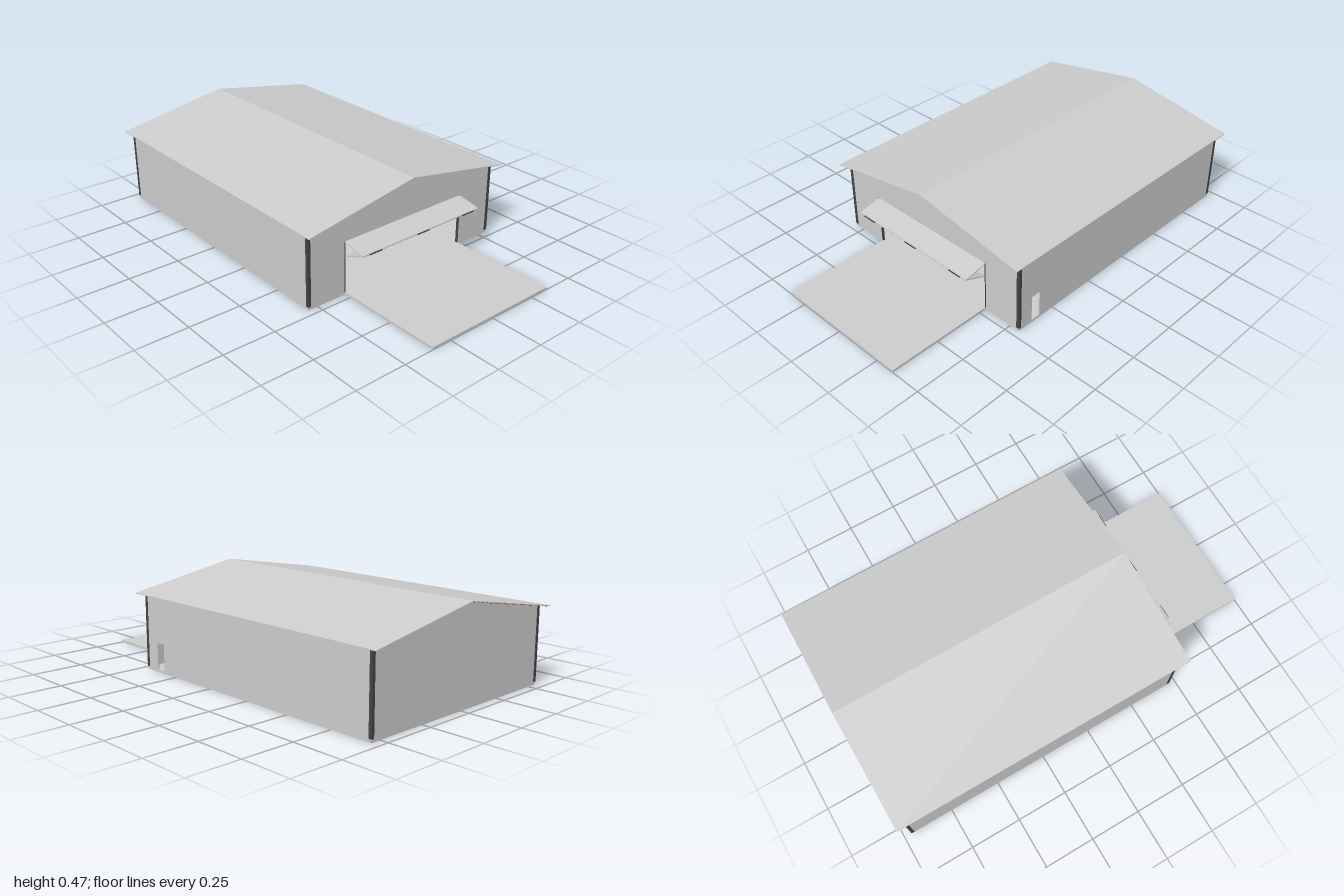
import * as THREE from 'three';

const grey = new THREE.MeshStandardMaterial({ color: 0xcccccc });
const dark = new THREE.MeshStandardMaterial({ color: 0x444444 });
const red = new THREE.MeshStandardMaterial({ color: 0x8f0a12 });

const X0 = -0.96, X1 = 0.465, ZW = 0.55, FLOOR = 0.012, T = 0.006;
const RIDGE = 0.467, SLOPE = 0.174, EAVE_Z = 0.576;
const roofY = (z) => RIDGE - SLOPE * Math.abs(z);
const PITCH = Math.atan(SLOPE);

export function createModel() {
  const model = new THREE.Group();
  model.name = 'hangar';

  const add = (name, geometry, material = grey, parent = model) => {
    const mesh = new THREE.Mesh(geometry, material);
    mesh.name = name;
    parent.add(mesh);
    return mesh;
  };
  // box given by its limits
  const box = (name, x0, x1, y0, y1, z0, z1, material, parent) => {
    const g = new THREE.BoxGeometry(x1 - x0, y1 - y0, z1 - z0);
    g.translate((x0 + x1) / 2, (y0 + y1) / 2, (z0 + z1) / 2);
    return add(name, g, material, parent);
  };
  const polygon = (points) => new THREE.Shape(points.map(([a, b]) => new THREE.Vector2(a, b)));
  // (z, y) outline extruded along x
  const acrossX = (shape, x0, x1) => {
    const g = new THREE.ExtrudeGeometry(shape, { depth: x1 - x0, bevelEnabled: false });
    return g.rotateY(-Math.PI / 2).translate(x1, 0, 0);
  };

  // floor and apron
  box('floorSlab', X0, X1, 0, FLOOR, -ZW, ZW);
  box('apron', X1, 1, 0, FLOOR, -0.35, 0.35);

  // gable walls, the one at +x with the large door opening
  const top = (z) => roofY(z) - 0.004;
  const gable = [[ZW, FLOOR], [ZW, top(ZW)], [0, top(0)], [-ZW, top(ZW)], [-ZW, FLOOR]];
  const opening = [[-0.35, FLOOR], [-0.35, 0.26], [0.35, 0.26], [0.35, FLOOR]];
  add('rearGable', acrossX(polygon(gable), X0, X0 + T));
  add('doorGable', acrossX(polygon([...gable, ...opening]), X1 - T, X1));

  // long walls, the back one with a small doorway
  box('frontWall', X0, X1, FLOOR, top(ZW), ZW - T, ZW);
  const backShape = polygon([
    [X0, FLOOR], [0.335, FLOOR], [0.335, 0.14], [0.385, 0.14], [0.385, FLOOR],
    [X1, FLOOR], [X1, top(ZW)], [X0, top(ZW)],
  ]);
  add('backWall', new THREE.ExtrudeGeometry(backShape, { depth: T, bevelEnabled: false })
    .translate(0, 0, -ZW));

  // roof sheets
  const roof = polygon([
    [EAVE_Z, roofY(EAVE_Z)], [0, RIDGE], [-EAVE_Z, roofY(EAVE_Z)],
    [-EAVE_Z, roofY(EAVE_Z) - 0.004], [0, RIDGE - 0.004], [EAVE_Z, roofY(EAVE_Z) - 0.004],
  ]);
  add('roof', acrossX(roof, -1, 0.51));

  // dark corner trims
  for (const sz of [-1, 1]) {
    for (const [x, sx] of [[X0, -1], [X1, 1]]) {
      const cx = x - sx * 0.0045, cz = sz * (ZW - 0.0055);
      box('cornerTrim', cx - 0.0075, cx + 0.0075, 0.015, 0.362, cz - 0.0075, cz + 0.0075, dark);
    }
    box('doorJamb', X1 - 0.01, X1 + 0.002, FLOOR, 0.26, sz * 0.35 - 0.002, sz * 0.35 + 0.002, dark);
  }

  // steel frame inside
  const frame = new THREE.Group();
  frame.name = 'steelFrame';
  model.add(frame);
  for (const s of [-1, 1]) {
    // purlins under the sheets
    for (let i = 0; i < 10; i++) {
      const z = s * (0.02 + i * 0.06);
      const p = add('purlin', new THREE.BoxGeometry(1.49, 0.003, 0.012), red, frame);
      p.position.set(-0.245, roofY(z) - 0.0055, z);
      p.rotation.x = s * PITCH;
    }
    // columns and rafters
    for (let i = 0; i < 6; i++) {
      const x = X0 + 0.02 + i * (X1 - X0 - 0.04) / 5;
      box('column', x - 0.005, x + 0.005, FLOOR, 0.355, s * 0.535 - 0.008, s * 0.535 + 0.008, red, frame);
      const r = add('rafter', new THREE.BoxGeometry(0.01, 0.016, 0.54 / Math.cos(PITCH)), red, frame);
      r.position.set(x, roofY(0.27) - 0.016, s * 0.27);
      r.rotation.x = s * PITCH;
    }
    // wall rails and rear posts
    for (const y of [0.017, 0.16, 0.3]) {
      if (s > 0 || y > 0.15) {
        box('sideRail', X0 + T, X1 - T, y - 0.005, y + 0.005, s * 0.54 - 0.004, s * 0.54 + 0.004, red, frame);
      }
    }
    box('rearPost', X0 + T, X0 + 0.02, FLOOR, 0.42, s * 0.18 - 0.004, s * 0.18 + 0.004, red, frame);
  }
  for (const y of [0.017, 0.16, 0.3]) {
    box('rearRail', X0 + T, X0 + 0.02, y - 0.005, y + 0.005, -0.53, 0.53, red, frame);
  }

  // folding door, raised; each leaf hangs from its upper edge and is swung about z
  const leaf = (name, from, to, windows) => {
    const dx = to[0] - from[0], dy = to[1] - from[1], len = Math.hypot(dx, dy);
    const g = new THREE.Group();
    g.name = name;
    g.position.set(from[0], from[1], 0);
    g.rotation.z = Math.atan2(dx, -dy);
    model.add(g);
    const shape = polygon([[-0.35, -len], [0.35, -len], [0.35, 0], [-0.35, 0]]);
    for (const z of windows) {
      const a = -0.087, b = -0.021, h = 0.017;
      shape.holes.push(polygon([[z - h, a], [z - h, b], [z + h, b], [z + h, a]]));
      box('windowBar', -0.004, -0.001, a, b, z - 0.001, z + 0.001, grey, g);
      for (const t of [1, 2]) {
        const y = a + (b - a) * t / 3;
        box('windowBar', -0.004, -0.001, y - 0.0015, y + 0.0015, z - h, z + h, grey, g);
      }
    }
    add('panel', acrossX(shape, -0.005, 0), grey, g);
  };
  const bays = [-0.28, 0, 0.28];
  leaf('upperDoorLeaf', [X1, 0.26], [0.581, 0.236], []);
  leaf('lowerDoorLeaf', [0.581, 0.233], [X1 + 0.004, 0.187], bays);
  for (const z of bays) box('doorHinge', 0.574, 0.584, 0.231, 0.236, z - 0.035, z + 0.035, dark);

  return model;
}
